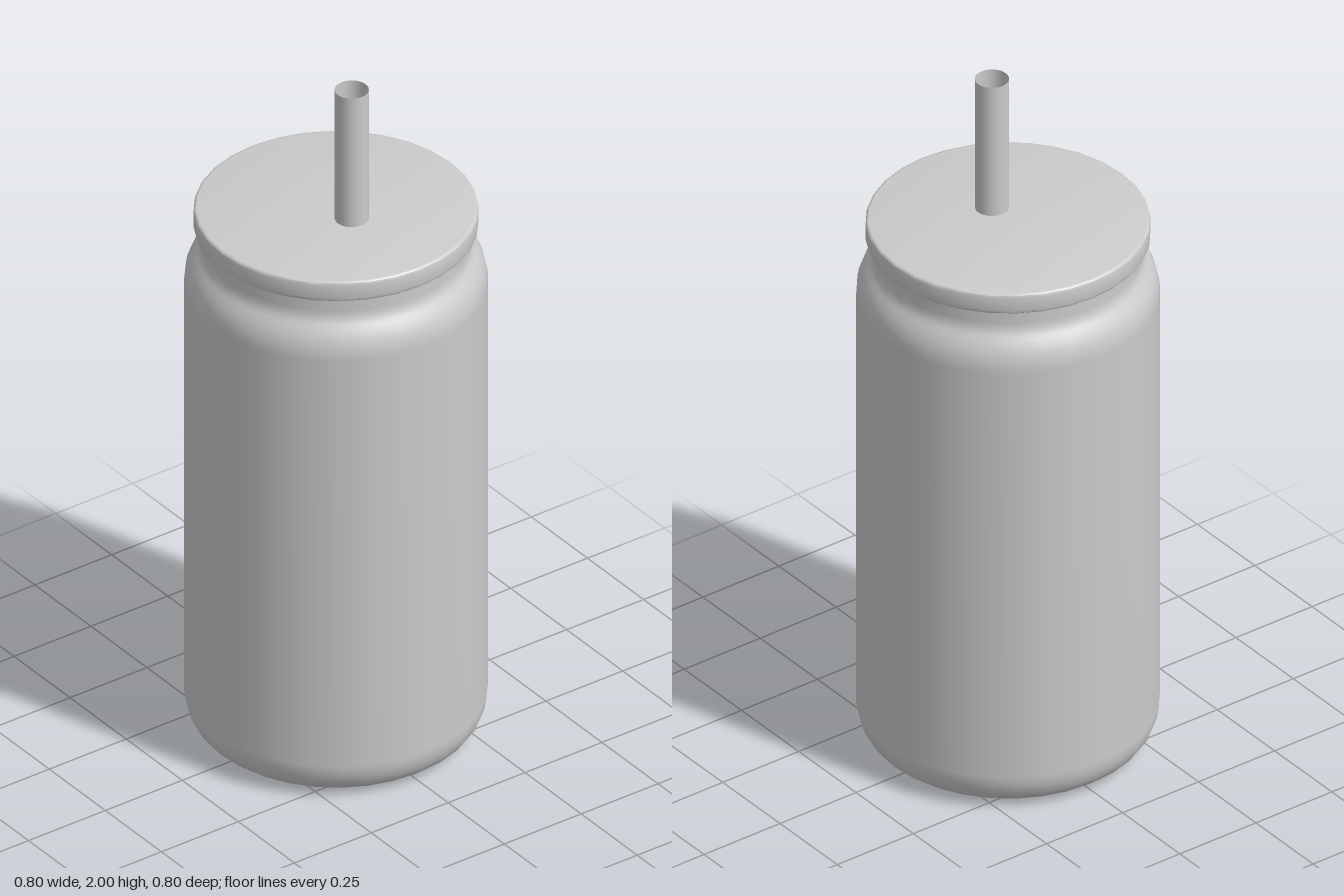
import * as THREE from 'three';
import { toCreasedNormals } from 'three/addons/utils/BufferGeometryUtils.js';

const SIDES = 32;
const material = new THREE.MeshStandardMaterial({ color: 0xcccccc, side: THREE.DoubleSide });

function addPart(group, name, geometry) {
  const mesh = new THREE.Mesh(geometry, material);
  mesh.name = name;
  group.add(mesh);
  return mesh;
}

// Rounded corner points from one profile point to another, bulging toward the control point
function corner(x0, y0, cx, cy, x1, y1, steps) {
  return new THREE.QuadraticBezierCurve(
    new THREE.Vector2(x0, y0), new THREE.Vector2(cx, cy), new THREE.Vector2(x1, y1)
  ).getPoints(steps);
}

export function createModel() {
  const group = new THREE.Group();
  group.name = 'tumbler';

  // Can-shaped body: flat base, rounded bottom, rounded shoulder and narrow neck
  const bodyProfile = [
    new THREE.Vector2(0, 0),
    new THREE.Vector2(0.28, 0),
    ...corner(0.3, 0, 0.395, 0.005, 0.4, 0.11, 6),
    ...corner(0.4, 1.37, 0.4, 1.42, 0.373, 1.455, 5),
    ...corner(0.366, 1.464, 0.355, 1.478, 0.355, 1.5, 3),
    new THREE.Vector2(0.355, 1.55),
  ];
  addPart(group, 'body', new THREE.LatheGeometry(bodyProfile, SIDES));

  // Disc lid with softened rims
  const lidProfile = [
    new THREE.Vector2(0, 1.54),
    ...corner(0.366, 1.54, 0.375, 1.54, 0.375, 1.549, 3),
    ...corner(0.375, 1.591, 0.375, 1.6, 0.366, 1.6, 3),
    new THREE.Vector2(0, 1.6),
  ];
  addPart(group, 'lid', toCreasedNormals(new THREE.LatheGeometry(lidProfile, SIDES), 0.6));

  // Open straw standing off-centre in the lid
  const straw = addPart(group, 'straw', new THREE.CylinderGeometry(0.045, 0.045, 0.42, SIDES, 1, true));
  straw.position.set(0.07, 1.79, 0);

  return group;
}
